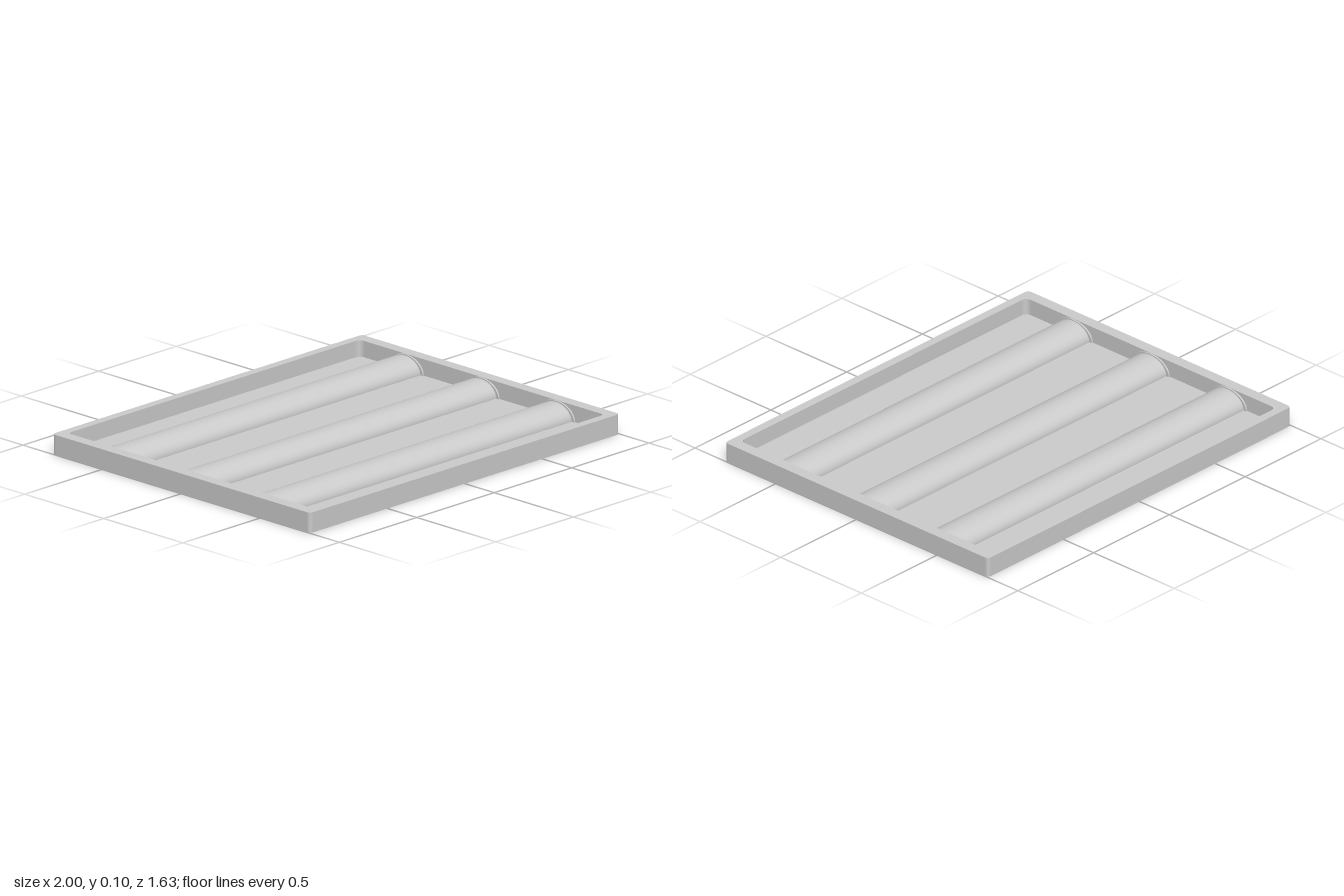
import * as THREE from 'three';

const W = 2, D = 1.63, H = 0.096;        // outer frame
const IW = 1.885, ID = 1.545;            // inner opening
const FLOOR0 = 0.008, FLOOR1 = 0.018;    // floor panel underside and top
const RIDGES = [-0.482, -0.003, 0.474];  // ridge centres along z
const R = 0.1;                           // ridge half width

function roundedRect(path, w, d, r) {
  const x = w / 2, y = d / 2;
  path.moveTo(-x + r, -y);
  path.lineTo(x - r, -y);
  path.quadraticCurveTo(x, -y, x, -y + r);
  path.lineTo(x, y - r);
  path.quadraticCurveTo(x, y, x - r, y);
  path.lineTo(-x + r, y);
  path.quadraticCurveTo(-x, y, -x, y - r);
  path.lineTo(-x, -y + r);
  path.quadraticCurveTo(-x, -y, -x + r, -y);
  return path;
}

// Plan outline extruded upwards between two heights
function slab(shape, y0, y1) {
  const g = new THREE.ExtrudeGeometry(shape, { depth: y1 - y0, bevelEnabled: false, curveSegments: 6 });
  return g.rotateX(-Math.PI / 2).translate(0, y0, 0);
}

// Half-round arch in the y-z plane, extruded along x and centred on x
function arch(halfWidth, top, length) {
  const s = new THREE.Shape();
  s.moveTo(halfWidth, FLOOR0);
  s.lineTo(halfWidth, FLOOR1);
  s.absellipse(0, FLOOR1, halfWidth, top - FLOOR1, 0, Math.PI, false, 0);
  s.lineTo(-halfWidth, FLOOR0);
  s.closePath();
  const g = new THREE.ExtrudeGeometry(s, { depth: length, bevelEnabled: false, curveSegments: 40 });
  return g.translate(0, 0, -length / 2).rotateY(Math.PI / 2);
}

export function createModel() {
  const group = new THREE.Group();
  const material = new THREE.MeshStandardMaterial({ color: 0xcccccc });
  const add = (name, geometry, x = 0, z = 0) => {
    const mesh = new THREE.Mesh(geometry, material);
    mesh.name = name;
    mesh.position.set(x, 0, z);
    group.add(mesh);
  };

  // Raised rim around the tray
  const rim = roundedRect(new THREE.Shape(), W, D, 0.02);
  rim.holes.push(roundedRect(new THREE.Path(), IW, ID, 0.03));
  add('frame', slab(rim, 0, H));

  // Flat floor strips between the ridges
  const edges = [-ID / 2, ...RIDGES.flatMap(z => [z - R, z + R]), ID / 2];
  for (let i = 0; i < edges.length; i += 2) {
    const depth = edges[i + 1] - edges[i];
    const strip = new THREE.BoxGeometry(IW, FLOOR1 - FLOOR0, depth);
    strip.translate(0, (FLOOR0 + FLOOR1) / 2, 0);
    add('floorStrip', strip, 0, (edges[i] + edges[i + 1]) / 2);
  }

  // Half-round ridges, each with a thin collar at both ends
  for (const z of RIDGES) {
    add('ridge', arch(R, 0.09, IW), 0, z);
    for (const side of [-1, 1]) {
      add('ridgeCollar', arch(R + 0.015, H - 0.001, 0.008), side * (IW / 2 - 0.004), z);
    }
  }
  return group;
}
